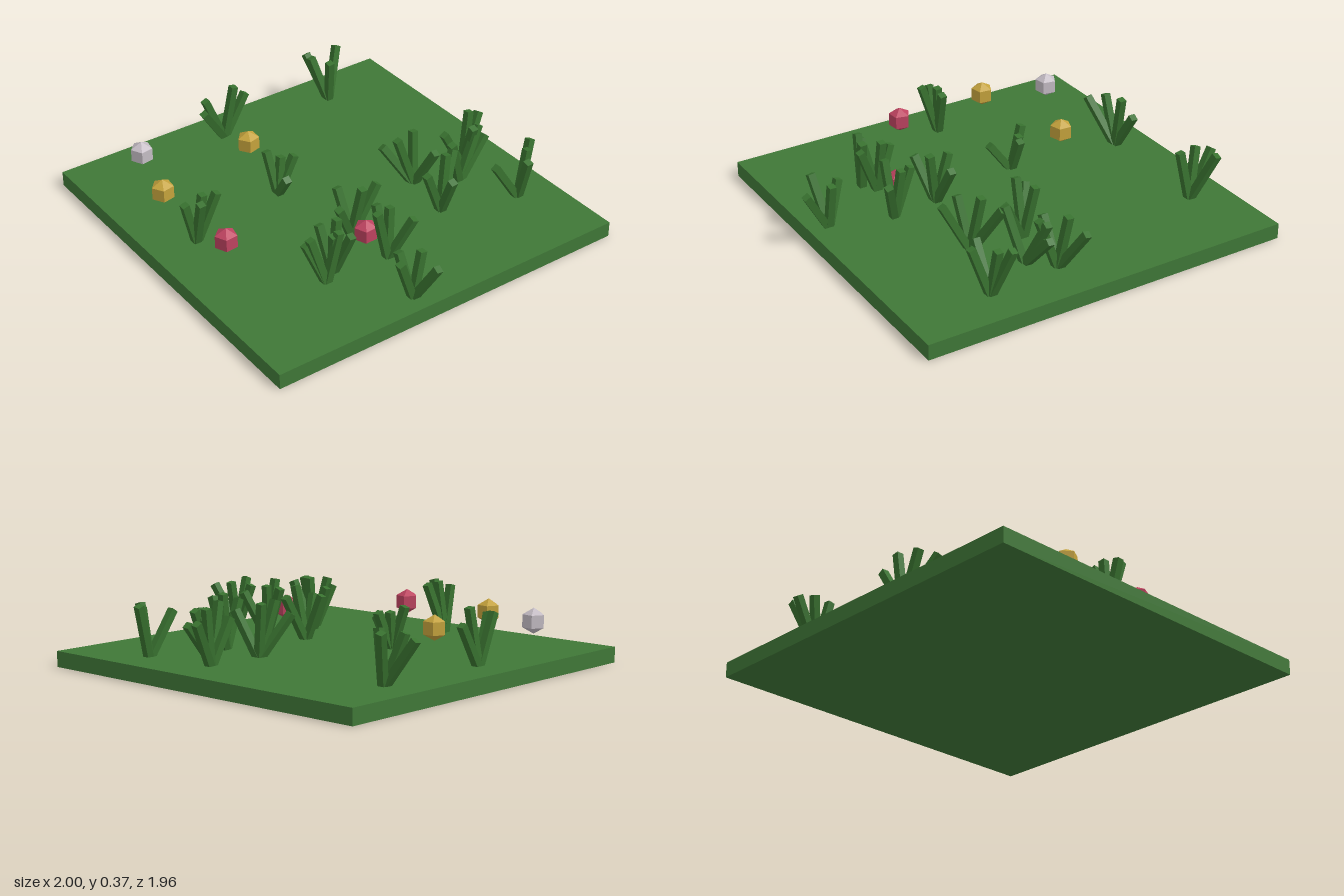
import * as THREE from 'three';

const mat = (name, color) => {
  const m = new THREE.MeshStandardMaterial({ color, flatShading: true });
  m.name = name;
  return m;
};

const GROUND_TOP = 0.08;

// Share of a clump's spread that each successive blade leans out
const LEAN = [1, 0.8, 0.6, 0.35];

// Grass clumps: x, z, spread, blade length, then compass angles of the blades (0 = +x, 90 = +z)
const CLUMPS = [
  [-0.79, -0.54, 0.16, 0.27, 166, 234, 140, 27],
  [-0.81, 0.12, 0.175, 0.27, 66, 267, 92, 281],
  [-0.21, 0.19, 0.12, 0.21, 10, 275, 166, 240],
  [-0.1, 0.74, 0.11, 0.27, 287, 10, 77, 300],
  [0.12, -0.73, 0.16, 0.27, 247, 90, 10, 243],
  [0.23, -0.62, 0.18, 0.28, 262, 256, 63],
  [0.38, -0.38, 0.17, 0.28, 237, 16, 84, 236],
  [0.11, -0.42, 0.16, 0.27, 125, 343, 101, 211],
  [0.51, -0.77, 0.15, 0.27, 94, 243, 16, 259],
  [0.29, 0.1, 0.155, 0.26, 268, 65, 166, 326],
  [0.54, 0.07, 0.12, 0.27, 308, 180, 84, 225],
  [0.85, 0.16, 0.136, 0.25, 343, 72, 157, 267],
  [0.48, 0.35, 0.11, 0.26, 343, 169, 31, 248],
  [0.53, 0.42, 0.1, 0.26, 119, 108, 288],
];

// Floating flower heads: x, z, colour
const FLOWERS = [
  [-0.5, 0.17, 'yellow'],
  [-0.38, 0.75, 'yellow'],
  [-0.73, 0.66, 'white'],
  [0.14, 0.72, 'red'],
  [0.47, 0.15, 'red'],
];

export function createModel() {
  const model = new THREE.Group();
  model.name = 'meadowTile';

  const groundMat = mat('groundGreen', 0x3f7737);
  const bladeMat = mat('bladeGreen', 0x38712f);
  const petals = {
    red: mat('flowerRed', 0xbe4360),
    yellow: mat('flowerYellow', 0xc4a23c),
    white: mat('flowerWhite', 0xc4bcc4),
  };

  // Ground slab
  const ground = new THREE.Mesh(new THREE.BoxGeometry(1.955, GROUND_TOP, 1.955), groundMat);
  ground.name = 'ground';
  ground.position.set(-0.0225, GROUND_TOP / 2, 0);
  model.add(ground);

  // Square blades fanning out from the foot of each clump
  const up = new THREE.Vector3(0, 1, 0);
  CLUMPS.forEach(([x, z, spread, length, ...angles], c) => {
    const clump = new THREE.Group();
    clump.name = `grassClump${c + 1}`;
    clump.position.set(x, GROUND_TOP, z);
    angles.forEach((degrees, i) => {
      const angle = THREE.MathUtils.degToRad(degrees);
      const reach = spread * LEAN[i];
      const bladeLength = length + 0.02 * Math.sin(c * 2.3 + i * 1.9);
      const rise = Math.sqrt(bladeLength ** 2 - reach ** 2);
      const foot = new THREE.Vector3(0, -0.015, 0);
      const tip = new THREE.Vector3(Math.cos(angle) * reach, rise, Math.sin(angle) * reach);
      const along = tip.clone().sub(foot);
      const blade = new THREE.Mesh(new THREE.BoxGeometry(0.036, along.length(), 0.036), bladeMat);
      blade.name = 'grassBlade';
      blade.position.lerpVectors(foot, tip, 0.5);
      blade.quaternion.setFromUnitVectors(up, along.normalize());
      clump.add(blade);
    });
    model.add(clump);
  });

  // Faceted five-sided flower heads
  const headGeo = new THREE.SphereGeometry(0.065, 5, 3);
  FLOWERS.forEach(([x, z, colour], i) => {
    const head = new THREE.Mesh(headGeo, petals[colour]);
    head.name = `${colour}FlowerHead`;
    head.position.set(x, 0.22, z);
    head.rotation.y = 0.25 - 0.05 * i;
    model.add(head);
  });

  return model;
}
